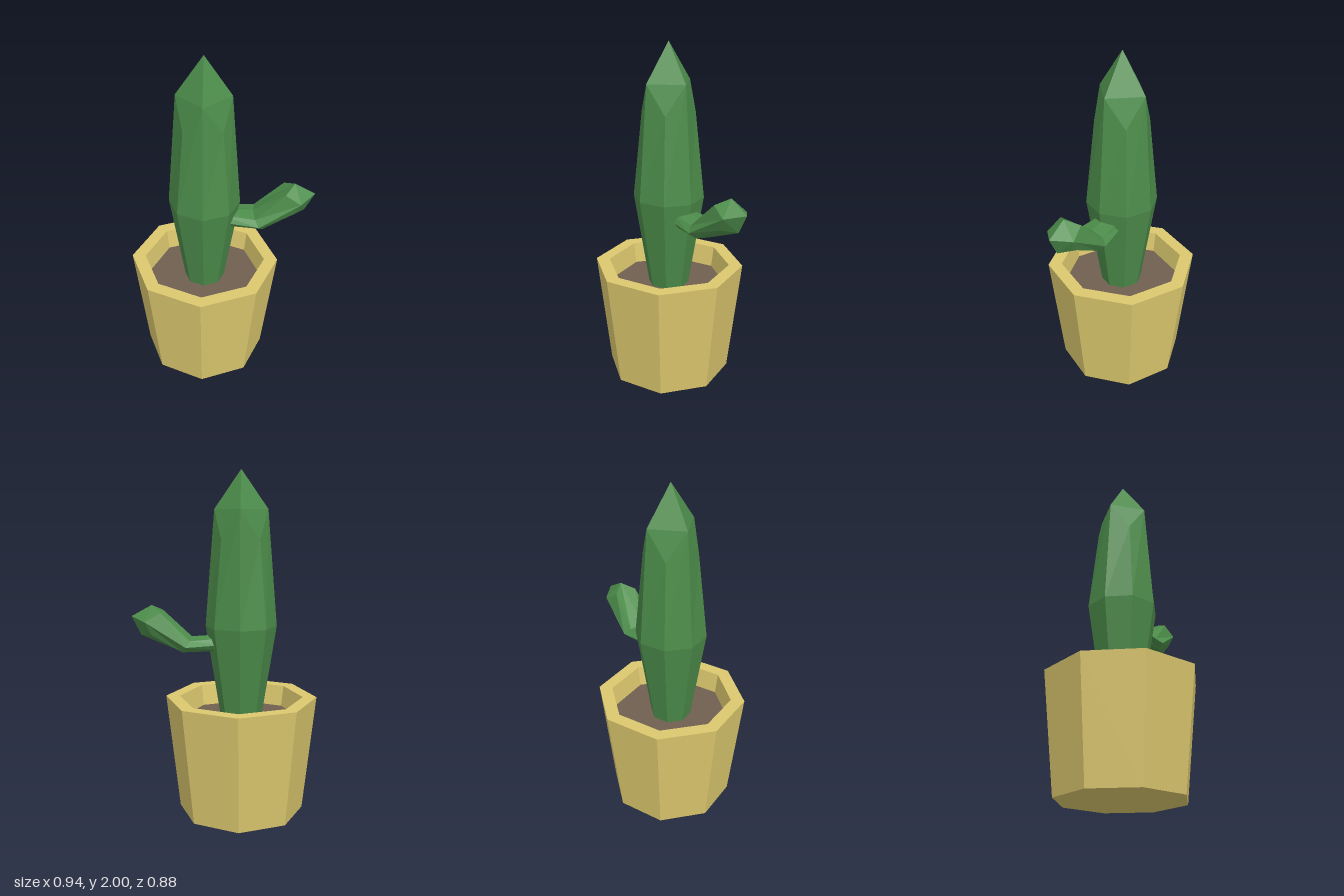
import * as THREE from 'three';

const DEG = Math.PI / 180;
const SIDES = 8;
const TURN = 9 * DEG; // the whole plant sits slightly turned

// Un-share vertices so that every face is shaded flat
function facet(geometry) {
  const flat = geometry.index ? geometry.toNonIndexed() : geometry;
  flat.computeVertexNormals();
  return flat;
}

// Eight-sided stem through rings of points, closed by a four-sided pointed tip.
// The last ring zigzags: corners of the tip alternate with lower points.
function stemGeometry(rings, apex, firstCorner) {
  const pos = [];
  const tri = (...pts) => pts.forEach((p) => pos.push(p.x, p.y, p.z));
  for (let k = 0; k < rings.length - 1; k++) {
    const a = rings[k], b = rings[k + 1];
    for (let i = 0; i < SIDES; i++) {
      const j = (i + 1) % SIDES;
      tri(a[i], b[i], a[j]);
      tri(a[j], b[i], b[j]);
    }
  }
  const crown = rings[rings.length - 1];
  for (let i = firstCorner; i < SIDES; i += 2) {
    const c1 = crown[i], low = crown[(i + 1) % SIDES], c2 = crown[(i + 2) % SIDES];
    tri(low, c1, c2);
    tri(c1, apex, c2);
  }
  const g = new THREE.BufferGeometry();
  g.setAttribute('position', new THREE.Float32BufferAttribute(pos, 3));
  return facet(g);
}

const ring = (point) => Array.from({ length: SIDES }, (_, i) => point(i));

export function createModel() {
  const clay = new THREE.MeshStandardMaterial({ color: 0xdcc86e });
  clay.name = 'clay';
  const earth = new THREE.MeshStandardMaterial({ color: 0x6f5f51 });
  earth.name = 'earth';
  const green = new THREE.MeshStandardMaterial({ color: 0x4c8c4a });
  green.name = 'cactusGreen';

  const model = new THREE.Group();
  model.name = 'pottedCactus';
  model.position.x = -0.035;
  const add = (name, geometry, material) => {
    const mesh = new THREE.Mesh(geometry, material);
    mesh.name = name;
    model.add(mesh);
    return mesh;
  };

  // Tapered octagonal pot with a thick rim
  const profile = [[0, 0], [0.37, 0], [0.446, 0.69], [0.365, 0.69], [0.335, 0.5]]
    .map(([r, y]) => new THREE.Vector2(r, y));
  add('pot', facet(new THREE.LatheGeometry(profile, SIDES, Math.PI / 2 - TURN)), clay);

  // Soil just below the rim
  const soil = new THREE.CircleGeometry(0.346, SIDES, -TURN);
  soil.rotateX(-Math.PI / 2);
  soil.translate(0, 0.565, 0);
  add('soil', facet(soil), earth);

  // Trunk: narrow foot, wide middle, pointed top
  const trunkPoint = (r, y, i) => {
    const a = TURN + i * Math.PI / 4;
    return new THREE.Vector3(r * Math.cos(a), y, r * Math.sin(a));
  };
  const trunkRings = [
    ring((i) => trunkPoint(0.11, 0.5, i)),
    ring((i) => trunkPoint(0.207, 1.115, i)),
    ring((i) => (i % 2 ? trunkPoint(0.153, 1.78, i) : trunkPoint(0.153, 1.615, i))),
  ];
  add('trunk', stemGeometry(trunkRings, new THREE.Vector3(0, 2, 0), 1), green);

  // Side arm: flattened stem along local x that bends upward
  const armPoint = (x, y, w, h, lean, i) => {
    const a = i * Math.PI / 4, up = h * Math.sin(a);
    return new THREE.Vector3(x - lean * up, y + up, w * Math.cos(a));
  };
  const armRings = [
    ring((i) => armPoint(0.1, 1.015, 0.08, 0.05, 0, i)),
    ring((i) => armPoint(0.315, 1.005, 0.117, 0.046, 0.65, i)),
    ring((i) => (i % 2
      ? armPoint(0.488, 1.135, 0.098, 0.09, 0.42, i)
      : armPoint(0.55, 1.148, 0.09, 0.088, 0.36, i))),
  ];
  const arm = add('arm', stemGeometry(armRings, new THREE.Vector3(0.637, 1.17, 0), 0), green);
  arm.rotation.y = 37.7 * DEG;

  const root = new THREE.Group();
  root.name = 'model';
  root.add(model);
  return root;
}
